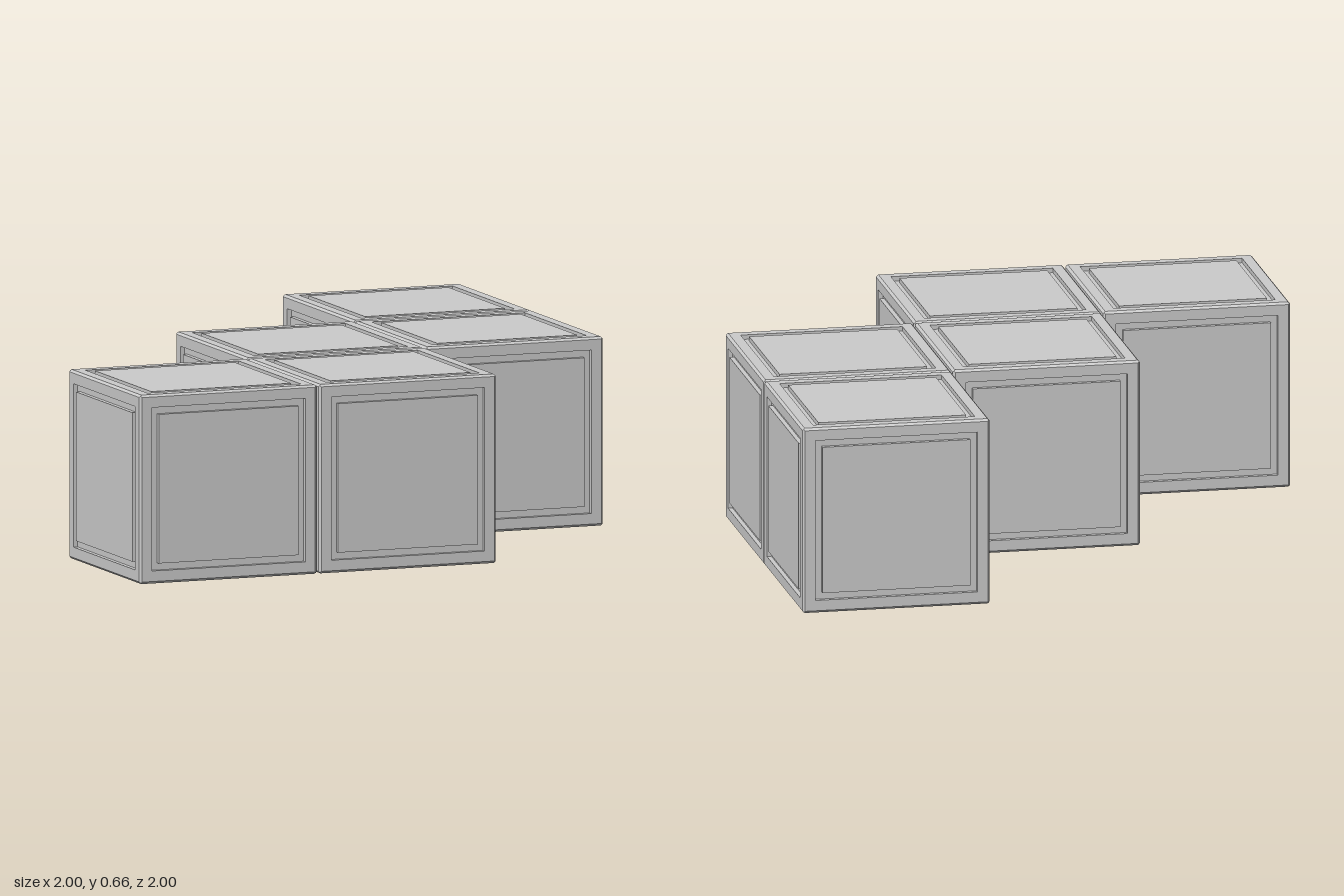
import * as THREE from 'three';
import { mergeGeometries } from 'three/addons/utils/BufferGeometryUtils.js';

const SIZE = 0.662;   // cube edge
const PITCH = 0.669;  // spacing, leaves a hairline gap
const BEVEL = 0.008;
const GROOVE_DEPTH = 0.016;

// One cube side: chamfer, frame, square groove and flush panel,
// as nested squares turned around the side's axis.
function sideGeometry() {
  const h = SIZE / 2;
  const profile = [
    [h - BEVEL / 2, h - BEVEL / 2],
    [h - BEVEL, h],
    [h - 0.045, h],
    [h - 0.045, h - GROOVE_DEPTH],
    [h - 0.07, h - GROOVE_DEPTH],
    [h - 0.07, h],
    [0, h],
  ].map(([half, y]) => new THREE.Vector2(half * Math.SQRT2, y));
  return new THREE.LatheGeometry(profile, 4, Math.PI / 4);
}

// Six sides closed into one cube
function cubeGeometry() {
  const q = Math.PI / 2;
  const turns = [[0, 0], [q, 0], [2 * q, 0], [-q, 0], [0, q], [0, -q]];
  return mergeGeometries(turns.map(([rx, rz]) =>
    sideGeometry().rotateX(rx).rotateZ(rz)));
}

export function createModel() {
  const group = new THREE.Group();
  group.name = 'steppedCubes';
  const geometry = cubeGeometry();
  const material = new THREE.MeshStandardMaterial({ color: 0xcccccc, flatShading: true });

  // Staircase layout in grid cells (x, z)
  const cells = [[-1, 1], [0, 1], [0, 0], [1, 0], [1, -1]];
  cells.forEach(([x, z], i) => {
    const cube = new THREE.Mesh(geometry, material);
    cube.name = `panelledCube${i + 1}`;
    cube.position.set(x * PITCH, SIZE / 2, z * PITCH);
    group.add(cube);
  });
  return group;
}
